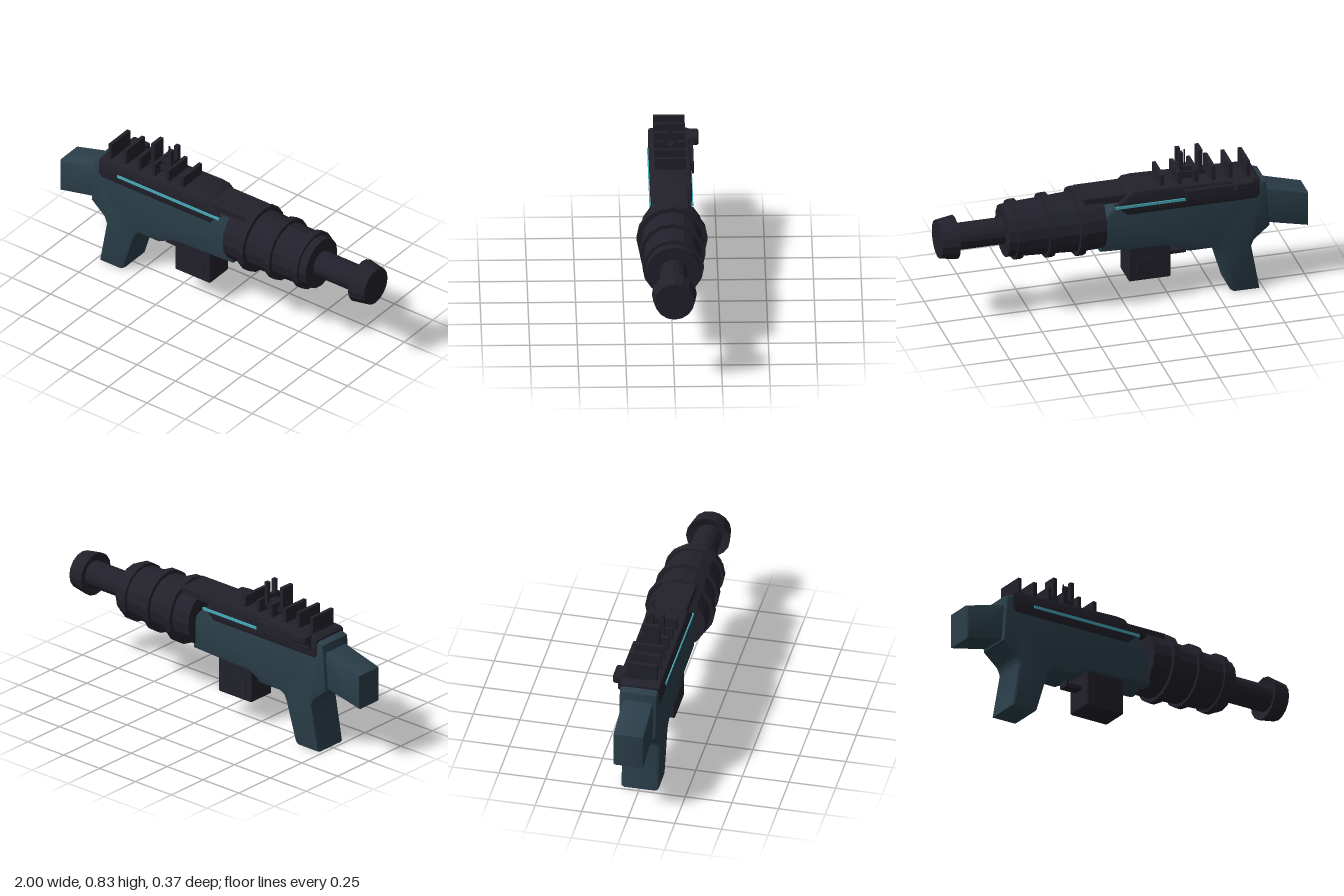
import * as THREE from 'three';
import { toCreasedNormals } from 'three/addons/utils/BufferGeometryUtils.js';
import { RoundedBoxGeometry } from 'three/addons/geometries/RoundedBoxGeometry.js';

const mat = (name, color) => {
  const m = new THREE.MeshStandardMaterial({ color });
  m.name = name;
  return m;
};

export function createModel() {
  const group = new THREE.Group();
  const teal = mat('darkTeal', 0x2b3f4a);
  const dark = mat('charcoal', 0x22212b);
  const cyan = mat('cyan', 0x46aaba);

  const add = (name, geo, material) => {
    const mesh = new THREE.Mesh(geo, material);
    mesh.name = name;
    group.add(mesh);
    return mesh;
  };

  // Side profile extruded to a half width, with bevelled edges
  const slab = (name, pts, half, bevel, material) => {
    const shape = new THREE.Shape(pts.map(([x, y]) => new THREE.Vector2(x, y)));
    const geo = new THREE.ExtrudeGeometry(shape, {
      depth: 2 * (half - bevel), bevelEnabled: true, bevelSize: bevel,
      bevelThickness: bevel, bevelOffset: -bevel, bevelSegments: 2,
    });
    geo.translate(0, 0, bevel - half);
    return add(name, toCreasedNormals(geo, 0.6), material);
  };

  // Box given by its limits on each axis
  const box = (name, x0, x1, y0, y1, z0, z1, material = dark, r = 0) => {
    const s = [x1 - x0, y1 - y0, z1 - z0];
    const geo = r ? new RoundedBoxGeometry(...s, 2, r) : new THREE.BoxGeometry(...s);
    const mesh = add(name, geo, material);
    mesh.position.set((x0 + x1) / 2, (y0 + y1) / 2, (z0 + z1) / 2);
    return mesh;
  };

  // Receiver and grip in one piece
  slab('body', [
    [-0.73, 0.005], [-0.59, 0.005], [-0.57, 0.02], [-0.505, 0.235], [-0.49, 0.265],
    [-0.465, 0.28], [-0.34, 0.28], [-0.25, 0.328], [0.14, 0.343], [0.14, 0.52],
    [0.05, 0.615], [-0.01, 0.645], [-0.73, 0.645], [-0.765, 0.632], [-0.785, 0.37],
    [-0.70, 0.297], [-0.685, 0.26],
  ], 0.102, 0.018, teal);

  // Stock
  slab('stock', [
    [-1, 0.33], [-0.74, 0.388], [-0.74, 0.595], [-0.78, 0.583], [-1, 0.522],
  ], 0.082, 0.012, teal);

  // Top cover
  slab('topCover', [
    [-0.71, 0.545], [-0.005, 0.545], [0.06, 0.605], [-0.03, 0.68], [-0.08, 0.685],
    [-0.6, 0.672], [-0.71, 0.668], [-0.73, 0.655], [-0.73, 0.565],
  ], 0.109, 0.016, dark);

  // Glowing strips on both sides
  for (const side of [-1, 1]) {
    const strip = box('lightStrip', -0.6, 0.06, 0.593, 0.608, -0.004, 0.004, cyan);
    strip.position.z = side * 0.111;
  }

  // Bolt plate and knob on the far side
  box('boltPlate', -0.69, -0.32, 0.59, 0.655, -0.125, -0.1, dark, 0.006);
  box('boltKnob', -0.69, -0.58, 0.626, 0.676, -0.155, -0.09, dark, 0.012);

  // Cooling fins along the top
  [[-0.67, 0.76], [-0.575, 0.76], [-0.482, 0.755], [-0.388, 0.75], [-0.297, 0.747], [-0.202, 0.744]]
    .forEach(([x, top]) => box('fin', x - 0.01, x + 0.01, 0.64, top, -0.082, 0.082));

  // Sight: base, rear plate, front posts and pin
  box('sightBase', -0.45, -0.295, 0.7, 0.722, -0.04, 0.04);
  box('sightBlock', -0.4, -0.31, 0.66, 0.745, -0.025, 0.025);
  for (const x of [-0.423, -0.315]) {
    box('sightFoot', x - 0.011, x + 0.011, 0.71, 0.765, -0.04, 0.04);
    for (const z of [-0.028, 0.028]) {
      box('sightPost', x - 0.011, x + 0.011, 0.74, 0.84, z - 0.012, z + 0.012);
    }
  }
  box('sightRearPlate', -0.434, -0.412, 0.74, 0.84, -0.03, 0.03);
  box('sightPin', -0.349, -0.342, 0.74, 0.835, -0.004, 0.004);

  // Rail joining cover and barrel
  box('rail', -0.06, 0.24, 0.62, 0.668, -0.09, 0.09, dark, 0.008);

  // Magazine with raised side panels
  box('magazine', -0.25, -0.02, 0.138, 0.36, -0.082, 0.082, dark, 0.01);
  for (const side of [-1, 1]) {
    const panel = box('magazinePanel', -0.21, -0.06, 0.172, 0.272, -0.003, 0.003);
    panel.position.z = side * 0.084;
  }

  // Trigger guard
  box('triggerGuard', -0.34, -0.24, 0.243, 0.262, -0.03, 0.03);
  box('triggerGuardPost', -0.345, -0.328, 0.243, 0.3, -0.03, 0.03);

  // Barrel pieces turned about the x axis: [distance, radius] pairs
  const turned = (name, pts) => {
    const lathe = new THREE.LatheGeometry(pts.map(([x, r]) => new THREE.Vector2(r, x)), 16);
    const geo = toCreasedNormals(lathe, 0.3);
    geo.rotateZ(-Math.PI / 2);
    add(name, geo, dark).position.y = 0.5;
  };
  turned('barrelShroud', [
    [0.12, 0], [0.12, 0.162], [0.23, 0.164], [0.23, 0.186], [0.268, 0.186], [0.268, 0.161],
    [0.395, 0.154], [0.395, 0.173], [0.432, 0.173], [0.432, 0.152], [0.565, 0.146],
    [0.565, 0.161], [0.603, 0.161], [0.603, 0.144], [0.645, 0.14], [0.645, 0],
  ]);
  turned('innerBarrel', [[0.62, 0], [0.62, 0.072], [0.93, 0.072], [0.93, 0]]);
  turned('muzzle', [[0.92, 0], [0.92, 0.072], [0.905, 0.118], [1, 0.103], [1, 0]]);

  return group;
}
